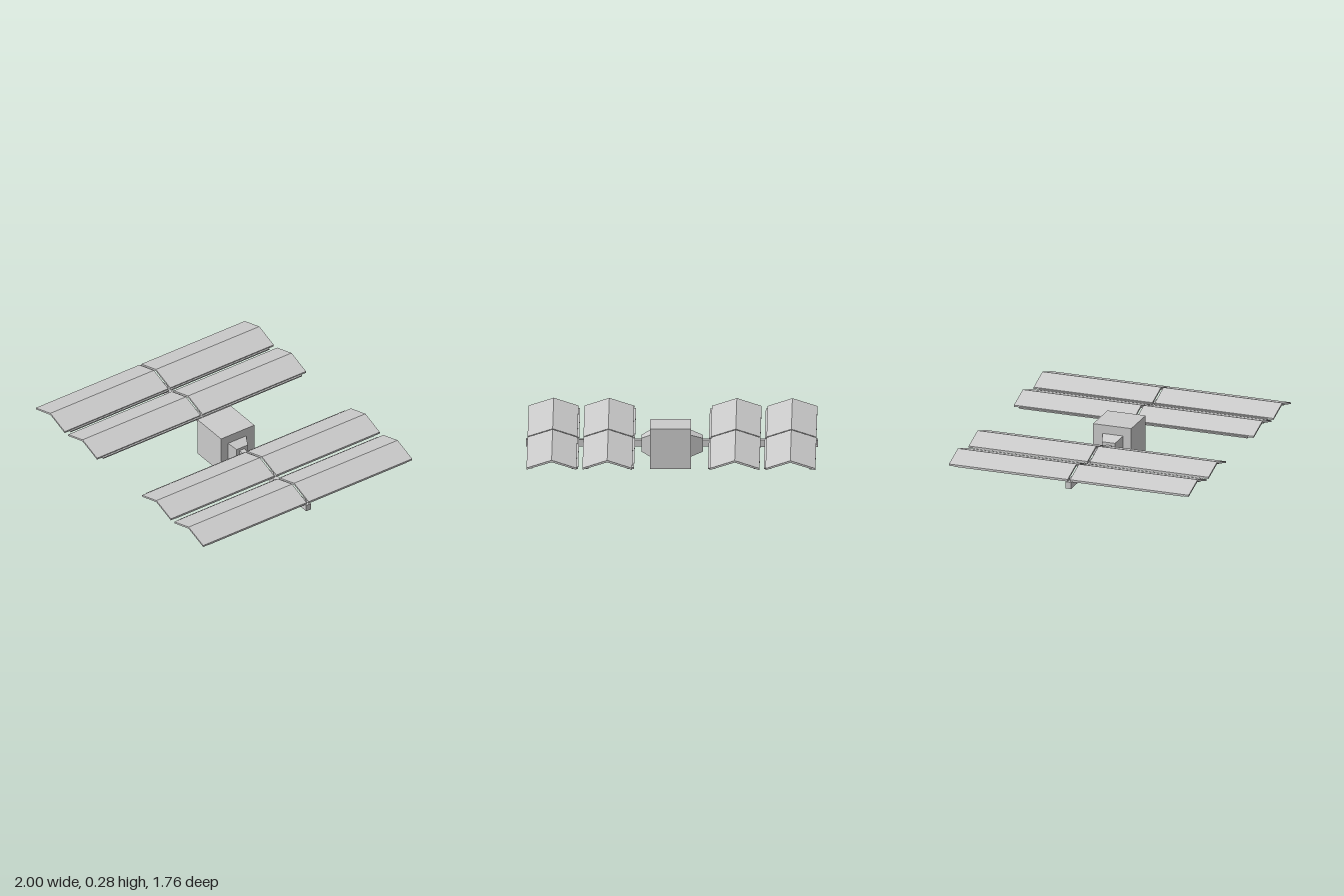
import * as THREE from 'three';

const material = new THREE.MeshStandardMaterial({ color: 0xcccccc, flatShading: true });

function add(parent, name, geometry, x = 0, y = 0, z = 0) {
  const mesh = new THREE.Mesh(geometry, material);
  mesh.name = name;
  mesh.position.set(x, y, z);
  parent.add(mesh);
  return mesh;
}

// Box given by its lower and upper limits on each axis
function addBox(parent, name, [x0, x1], [y0, y1], [z0, z1]) {
  return add(parent, name, new THREE.BoxGeometry(x1 - x0, y1 - y0, z1 - z0),
    (x0 + x1) / 2, (y0 + y1) / 2, (z0 + z1) / 2);
}

// Square tapered block pointing along +x or -x
function addHub(parent, name, baseX, tipX) {
  const length = Math.abs(tipX - baseX);
  const geometry = new THREE.CylinderGeometry(0.047 * Math.SQRT2, 0.076 * Math.SQRT2, length, 4);
  geometry.rotateY(Math.PI / 4);
  geometry.rotateZ(tipX > baseX ? -Math.PI / 2 : Math.PI / 2);
  add(parent, name, geometry, (baseX + tipX) / 2, 0.147, -0.005);
}

// Folded roof-like panel, extruded along z
function panelGeometry(inner, ridge, outer, side, length) {
  const points = [
    [inner, 0.178], [inner, 0.19], [ridge, 0.245],
    [outer, 0.19], [outer, 0.178], [ridge, 0.231],
  ].map(([x, y]) => new THREE.Vector2(side * x, y));
  return new THREE.ExtrudeGeometry(new THREE.Shape(points), { depth: length, bevelEnabled: false });
}

export function createModel() {
  const model = new THREE.Group();
  model.name = 'satellite';

  // Central body with a tapered hub on each side
  addBox(model, 'body', [-0.13, 0.15], [0, 0.285], [-0.15, 0.13]);
  addHub(model, 'leftHub', 0.15, 0.21);
  addHub(model, 'rightHub', -0.13, -0.213);

  const bays = [
    { inner: 0.266, ridge: 0.437, outer: 0.607, rail: 0.253 },
    { inner: 0.648, ridge: 0.818, outer: 0.99, rail: 0.636 },
  ];

  for (const side of [1, -1]) {
    const wing = new THREE.Group();
    wing.name = side > 0 ? 'leftWing' : 'rightWing';
    model.add(wing);
    const span = (a, b) => (side > 0 ? [a, b] : [-b, -a]);

    // Boom carrying the panels
    addBox(wing, 'boom', span(0.18, 1), [0.127, 0.175], [-0.022, 0.018]);

    for (const { inner, ridge, outer, rail } of bays) {
      // Two folded panels with a narrow gap over the boom
      const panel = panelGeometry(inner, ridge, outer, side, 0.87);
      add(wing, 'backPanel', panel, 0, 0, -0.88);
      add(wing, 'frontPanel', panel, 0, 0, 0.007);

      // Flat rails under the long edges of the panels
      for (const [z0, z1] of [[-0.837, -0.01], [0.007, 0.835]]) {
        addBox(wing, 'innerRail', span(rail, rail + 0.045), [0.174, 0.183], [z0, z1]);
        addBox(wing, 'outerRail', span(outer - 0.042, outer - 0.002), [0.174, 0.183], [z0, z1]);
      }
    }
  }
  return model;
}
